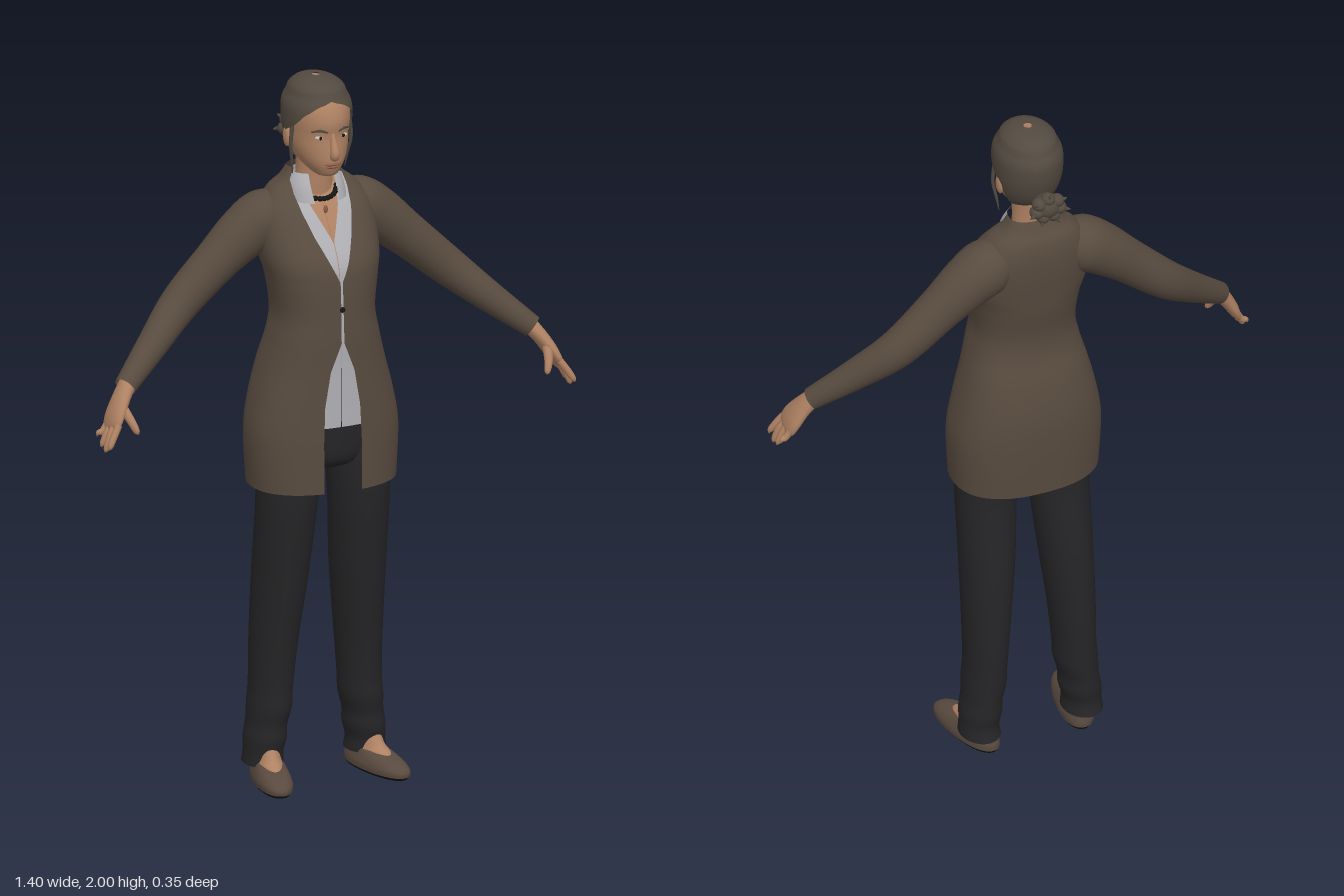
import * as THREE from 'three';

const mat = (name, color, side = THREE.DoubleSide) => {
  const m = new THREE.MeshStandardMaterial({ color, side });
  m.name = name;
  return m;
};
const M = {
  coat: mat('brown coat', 0x584b3f), skin: mat('skin', 0xaf8263), hair: mat('brown hair', 0x534a40),
  shirt: mat('grey shirt', 0xaeaeb3), trousers: mat('black trousers', 0x252527), shoe: mat('brown shoe', 0x594a3f),
  sole: mat('black sole', 0x161616), lip: mat('lip', 0x8f5c4b), eye: mat('eye white', 0xc4bdb5),
};

// Smooth interpolation through rows of numbers
function sample(keys, per = 5) {
  const out = [];
  for (let i = 0; i < keys.length - 1; i++) {
    const [a, b, c, d] = [keys[Math.max(i - 1, 0)], keys[i], keys[i + 1], keys[Math.min(i + 2, keys.length - 1)]];
    for (let k = 0; k < per; k++) {
      const t = k / per;
      out.push(b.map((v, j) => v + 0.5 * t * (c[j] - a[j] + t * (2 * a[j] - 5 * v + 4 * c[j] - d[j]
        + t * (3 * (v - c[j]) + d[j] - a[j])))));
    }
  }
  out.push(keys[keys.length - 1]);
  return out;
}

// Straight-line lookup in [y, value] pairs
function lookup(table, y) {
  if (y <= table[0][0]) return table[0][1];
  for (let i = 1; i < table.length; i++) {
    const [y0, v0] = table[i - 1], [y1, v1] = table[i];
    if (y <= y1) return v0 + (v1 - v0) * (y - y0) / (y1 - y0);
  }
  return table[table.length - 1][1];
}

// Skin a surface over rows of points
function skinRows(rows, closed) {
  const n = rows[0].length, pos = [], idx = [];
  rows.forEach(r => r.forEach(p => pos.push(p.x, p.y, p.z)));
  for (let i = 0; i < rows.length - 1; i++) {
    for (let j = 0; j < (closed ? n : n - 1); j++) {
      const a = i * n + j, b = i * n + (j + 1) % n;
      idx.push(a, b, a + n, b, b + n, a + n);
    }
  }
  const g = new THREE.BufferGeometry();
  g.setAttribute('position', new THREE.Float32BufferAttribute(pos, 3));
  g.setIndex(idx);
  g.computeVertexNormals();
  return g;
}

// Level sections [y, cx, rx, z0, front depth, back depth]; open(row) gives the half angle left open at the front
function loft(keys, { open, n = 40, p = 1, per = 5 } = {}) {
  const pw = v => Math.sign(v) * Math.abs(v) ** p;
  return skinRows(sample(keys, per).map(row => {
    const [y, cx, rx, z0, rf, rb] = row, a0 = open ? open(row) : 0;
    return Array.from({ length: open ? n + 1 : n }, (_, j) => {
      const a = a0 + (2 * Math.PI - 2 * a0) * j / n, c = Math.cos(a);
      return new THREE.Vector3(cx + rx * pw(Math.sin(a)), y, z0 + (c > 0 ? rf : rb) * pw(c));
    });
  }), !open);
}

// Sections [x, y, z, thickness, width] set square to their path
function limb(keys, s = 1, n = 16, per = 4) {
  const rows = sample(keys, per).map(([x, y, z, a, b = a]) => ({ c: new THREE.Vector3(s * x, y, z), a, b }));
  return skinRows(rows.map(({ c, a, b }, i) => {
    const t = rows[Math.min(i + 1, rows.length - 1)].c.clone().sub(rows[Math.max(i - 1, 0)].c).normalize();
    const u = new THREE.Vector3().crossVectors(t, new THREE.Vector3(0, 0, 1)).normalize();
    const v = new THREE.Vector3().crossVectors(u, t);
    return Array.from({ length: n }, (_, j) => {
      const w = 2 * Math.PI * j / n;
      return c.clone().addScaledVector(u, a * Math.sin(w)).addScaledVector(v, b * Math.cos(w));
    });
  }), true);
}

// Torso sections, shared by coat, shirt and chest
const TORSO = [
  [0.855, 0, 0.208, 0.02, 0.15, 0.15], [1.0, 0, 0.215, 0.02, 0.148, 0.158], [1.1, 0, 0.2, 0.015, 0.151, 0.152],
  [1.2, 0, 0.175, 0.01, 0.155, 0.13], [1.28, 0, 0.154, 0.02, 0.146, 0.118], [1.35, 0, 0.142, 0.02, 0.143, 0.115],
  [1.44, 0, 0.152, 0.02, 0.138, 0.132], [1.5, 0, 0.165, 0, 0.146, 0.12], [1.57, 0, 0.168, -0.02, 0.125, 0.108],
  [1.63, 0, 0.157, -0.03, 0.095, 0.1], [1.675, 0, 0.128, -0.04, 0.068, 0.082], [1.705, 0, 0.09, -0.045, 0.055, 0.06],
  [1.735, 0, 0.07, -0.045, 0.045, 0.045],
];
const P = 0.85;
function torso(lo, hi, inset, gap) {
  const keys = sample(TORSO, 6).filter(k => k[0] >= lo && k[0] <= hi)
    .map(([y, cx, rx, z, f, b]) => [y, cx, rx - inset, z, f - inset, b - inset]);
  const open = ([y, , rx]) => Math.asin(Math.min(0.98, Math.max(0.001, lookup(gap, y)) / rx) ** (1 / P));
  return loft(keys, { open, n: 56, p: P, per: 1 });
}

const HEAD = [
  [1.731, 0, 0.004, 0.05, 0.006, 0.006], [1.736, 0, 0.028, 0.05, 0.036, 0.035], [1.752, 0, 0.046, 0.03, 0.068, 0.06],
  [1.777, 0, 0.064, 0.01, 0.095, 0.075], [1.81, 0, 0.076, 0, 0.104, 0.09], [1.85, 0, 0.083, -0.01, 0.111, 0.096],
  [1.89, 0, 0.086, -0.01, 0.115, 0.104], [1.93, 0, 0.083, -0.01, 0.104, 0.103], [1.965, 0, 0.064, -0.01, 0.079, 0.082],
  [1.984, 0, 0.038, -0.01, 0.048, 0.052], [1.992, 0, 0.003, -0.01, 0.004, 0.004],
];

export function createModel() {
  const model = new THREE.Group();
  model.name = 'standingWoman';
  const add = (name, geo, material, parent = model) => {
    const m = new THREE.Mesh(geo, material);
    m.name = name;
    parent.add(m);
    return m;
  };
  const ball = (name, material, x, y, z, rx, ry = rx, rz = rx) => {
    const m = add(name, new THREE.SphereGeometry(1, 16, 12), material);
    m.position.set(x, y, z);
    m.scale.set(rx, ry, rz);
    return m;
  };

  // Clothes on the torso
  add('coat', torso(0.85, 1.74, 0, [[0.86, 0.056], [1.0, 0.056], [1.1, 0.052], [1.2, 0.035], [1.28, 0.004],
    [1.45, 0.003], [1.5, 0.026], [1.57, 0.055], [1.63, 0.073], [1.675, 0.08], [1.705, 0.078], [1.735, 0.062]]), M.coat);
  add('shirt', torso(1.03, 1.72, 0.012, [[1.55, 0.001], [1.64, 0.04], [1.7, 0.055]]), M.shirt);
  add('shirtCollar', loft([[1.652, 0, 0.086, -0.02, 0.088, 0.05], [1.69, 0, 0.08, -0.025, 0.075, 0.055],
    [1.725, 0, 0.066, -0.03, 0.055, 0.05]], { open: ([y]) => 0.42 + (y - 1.652) * 2 }), M.shirt);
  add('chest', torso(1.45, 1.72, 0.022, [[1.4, 0.001]]), M.skin);
  ball('coatButton', M.sole, 0, 1.375, 0.163, 0.008, 0.008, 0.004);
  add('trouserSeat', loft([[0.885, 0, 0.02, 0.02, 0.02, 0.02], [0.92, 0, 0.15, 0.02, 0.1, 0.09],
    [1.0, 0, 0.18, 0.02, 0.115, 0.12], [1.12, 0, 0.165, 0.015, 0.12, 0.115]]), M.trousers);

  // Neck, necklace and head
  add('neck', loft([[1.6, 0, 0.07, -0.035, 0.05, 0.05], [1.68, 0, 0.054, -0.03, 0.048, 0.045],
    [1.74, 0, 0.05, -0.025, 0.045, 0.05], [1.8, 0, 0.052, -0.02, 0.05, 0.06]]), M.skin);
  for (let i = -6; i <= 6; i++) {
    const a = i * 0.21;
    ball('necklaceBead', M.sole, 0.056 * Math.sin(a), 1.682 - 0.025 * Math.cos(a), -0.02 + 0.062 * Math.cos(a), 0.0075);
  }
  ball('pendant', M.lip, 0, 1.63, 0.052, 0.006, 0.012, 0.005);
  add('head', loft(HEAD), M.skin);
  add('nose', limb([[0, 1.868, 0.095, 0.004], [0, 1.835, 0.105, 0.009], [0, 1.806, 0.114, 0.013],
    [0, 1.795, 0.106, 0.012], [0, 1.79, 0.098, 0.002]]), M.skin);
  ball('upperLip', M.lip, 0, 1.774, 0.1, 0.024, 0.005, 0.009);
  ball('lowerLip', M.lip, 0, 1.766, 0.098, 0.02, 0.005, 0.009);

  // Hair drawn back into a knot
  const hairline = [[1.755, 2.2], [1.8, 1.95], [1.845, 1.7], [1.875, 1.2], [1.91, 0.85], [1.935, 0.45], [1.948, 0]];
  add('hair', loft(sample(HEAD, 6).filter(k => k[0] > 1.755)
    .map(([y, cx, rx, z, f, b]) => [y + (y > 1.96 ? 0.007 : 0), cx, rx + 0.008, z, f + 0.006, b + 0.009]),
  { open: ([y]) => lookup(hairline, y), n: 48, per: 1 }), M.hair);
  ball('hairKnot', M.hair, 0, 1.812, -0.135, 0.04, 0.036, 0.036);
  for (let i = 0; i < 7; i++) {
    const a = i / 7 * 2 * Math.PI, x = Math.sin(a), y = Math.cos(a);
    ball('knotCurl', M.hair, 0.034 * x, 1.812 + 0.028 * y, -0.145, 0.02, 0.018, 0.022);
    add('knotStrand', limb([[0.03 * x, 1.812 + 0.025 * y, -0.14, 0.008], [0.05 * x, 1.812 + 0.04 * y, -0.158, 0.006],
      [0.062 * x, 1.812 + 0.05 * y, -0.162, 0.001]], 1, 6), M.hair);
  }

  for (const s of [1, -1]) {
    const side = s > 0 ? 'left' : 'right';

    // Face details and loose hair
    ball(side + 'Eye', M.eye, s * 0.034, 1.85, 0.087, 0.014, 0.006, 0.008);
    ball(side + 'Iris', M.sole, s * 0.034, 1.85, 0.093, 0.005, 0.005, 0.003);
    add(side + 'Brow', limb([[0.015, 1.866, 0.1, 0.003], [0.035, 1.872, 0.094, 0.004], [0.055, 1.866, 0.078, 0.002]], s, 8), M.hair);
    ball(side + 'Ear', M.skin, s * 0.085, 1.832, -0.015, 0.01, 0.03, 0.018);
    add(side + 'Wisp', limb([[0.084, 1.88, 0.02, 0.006], [0.09, 1.82, 0.02, 0.005], [0.083, 1.77, 0.012, 0.004],
      [0.078, 1.73, 0.005, 0.001]], s, 6), M.hair);

    // Sleeve, hand, fingers and thumb
    add(side + 'Sleeve', limb([[0.07, 1.62, -0.05, 0.05], [0.135, 1.598, -0.05, 0.077], [0.2, 1.558, -0.05, 0.073],
      [0.28, 1.492, -0.047, 0.062], [0.395, 1.39, -0.035, 0.054], [0.5, 1.3, 0.015, 0.043],
      [0.607, 1.213, 0.072, 0.031]], s, 24, 6), M.coat);
    add(side + 'Hand', limb([[0.585, 1.235, 0.06, 0.024, 0.024], [0.622, 1.19, 0.083, 0.021, 0.034],
      [0.65, 1.145, 0.1, 0.018, 0.045], [0.664, 1.115, 0.11, 0.012, 0.04], [0.668, 1.108, 0.112, 0.002, 0.01]], s), M.skin);
    [1.085, 1.062, 1.055, 1.068].forEach((tip, k) => add(side + 'Finger', limb([
      [0.657, 1.13, 0.078 + 0.021 * k, 0.01], [0.677, 1.1, 0.082 + 0.023 * k, 0.01],
      [0.69, tip + 0.01, 0.08 + 0.026 * k, 0.008], [0.694, tip, 0.079 + 0.026 * k, 0.001]], s, 8), M.skin));
    add(side + 'Thumb', limb([[0.635, 1.175, 0.105, 0.015], [0.622, 1.138, 0.145, 0.012], [0.612, 1.112, 0.16, 0.009],
      [0.609, 1.103, 0.163, 0.001]], s, 8), M.skin);

    // Trouser leg with slight folds towards the hem
    add(side + 'TrouserLeg', loft([
      [0.045, 0.152, 0.056, -0.028, 0.072, 0.072], [0.08, 0.152, 0.053, -0.026, 0.068, 0.066],
      [0.12, 0.147, 0.057, -0.025, 0.075, 0.072], [0.16, 0.143, 0.054, -0.023, 0.072, 0.074],
      [0.21, 0.136, 0.059, -0.022, 0.08, 0.077], [0.27, 0.132, 0.058, -0.02, 0.078, 0.08],
      [0.4, 0.126, 0.064, -0.015, 0.086, 0.085], [0.6, 0.115, 0.075, 0.005, 0.096, 0.094],
      [0.8, 0.107, 0.083, 0.03, 0.098, 0.096], [0.92, 0.1, 0.088, 0.03, 0.1, 0.1],
      [1.0, 0.09, 0.088, 0.02, 0.1, 0.105]].map(k => [k[0], s * k[1], ...k.slice(2)]), { n: 28 }), M.trousers);

    // Flat shoe with the instep showing
    const foot = new THREE.Group();
    foot.name = side + 'Foot';
    foot.position.set(s * 0.157, 0, 0.04);
    foot.rotation.y = s * 0.2;
    model.add(foot);
    add('sole', loft([[0, 0, 0.002, 0, 0.002, 0.002], [0, 0, 0.044, 0, 0.128, 0.125], [0.008, 0, 0.05, 0, 0.136, 0.13]],
      { p: 0.9, per: 1 }), M.sole, foot);
    add('shoe', loft([[0.008, 0, 0.05, 0, 0.136, 0.13], [0.022, 0, 0.05, 0, 0.135, 0.13], [0.036, 0, 0.046, -0.005, 0.118, 0.122],
      [0.048, 0, 0.041, -0.02, 0.095, 0.105], [0.058, 0, 0.037, -0.04, 0.07, 0.084]], { p: 0.9 }), M.shoe, foot);
    add('instep', loft([[0.03, 0, 0.036, -0.05, 0.13, 0.06], [0.055, 0, 0.036, -0.05, 0.105, 0.06],
      [0.075, 0, 0.034, -0.055, 0.075, 0.05], [0.14, 0, 0.03, -0.06, 0.04, 0.04]]), M.skin, foot);
  }
  return model;
}
